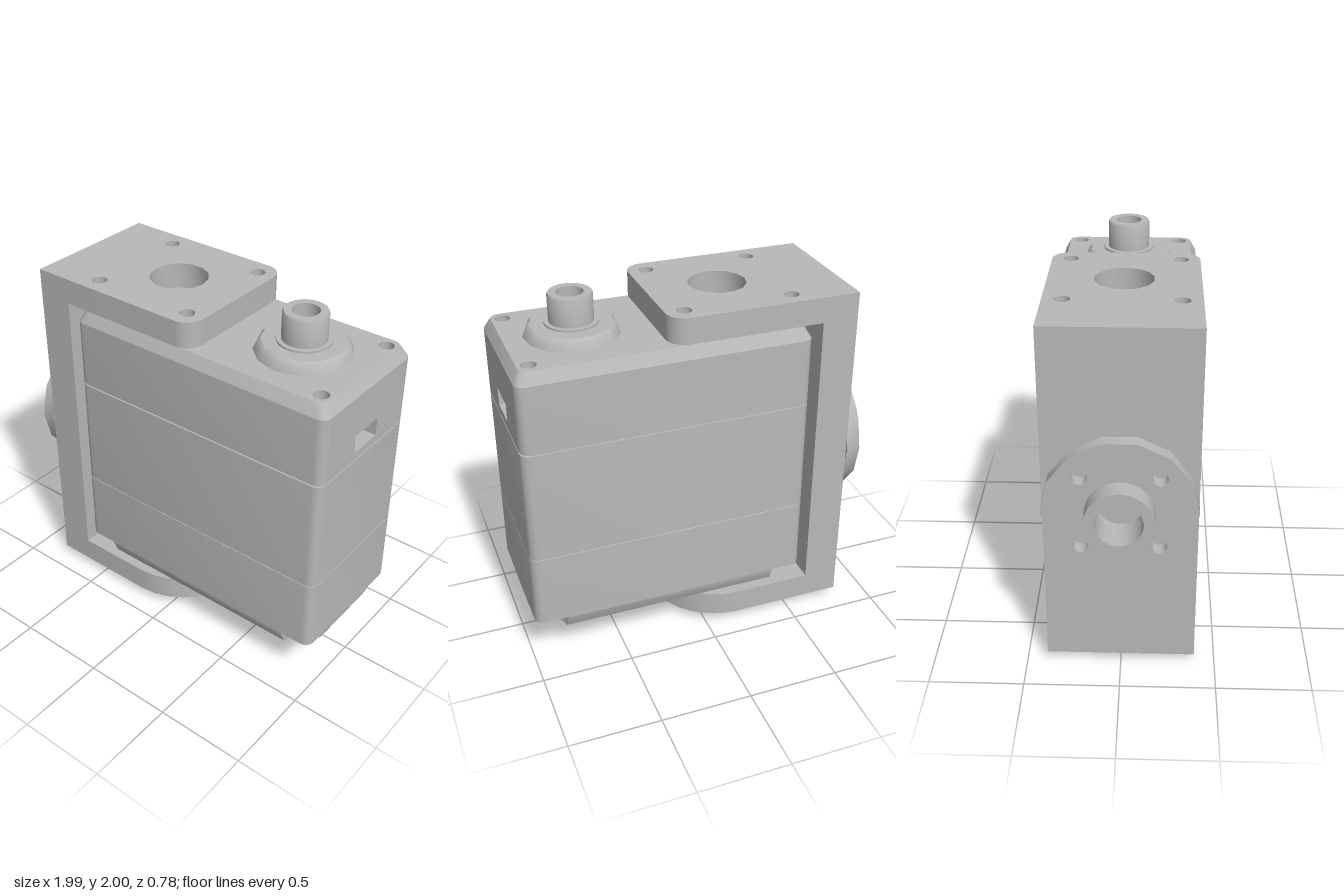
import * as THREE from 'three';
import { toCreasedNormals } from 'three/addons/utils/BufferGeometryUtils.js';

const metal = new THREE.MeshStandardMaterial({ color: 0xb8b8b8 });
metal.name = 'light grey';

// Housing footprint
const CX = 0.2125, HX = 0.7775, HZ = 0.39, CORNER = 0.05, NOTCH = 0.175;
const SHAFT_X = 0.605, BORE_X = -0.18;
const SIGNS = [[1, 1], [-1, 1], [-1, -1], [1, -1]];

function add(group, name, geometry) {
  const mesh = new THREE.Mesh(geometry, metal);
  mesh.name = name;
  group.add(mesh);
  return mesh;
}

function box(x0, x1, y0, y1, z0, z1) {
  return new THREE.BoxGeometry(x1 - x0, y1 - y0, z1 - z0)
    .translate((x0 + x1) / 2, (y0 + y1) / 2, (z0 + z1) / 2);
}

function drill(shape, x, y, r) {
  shape.holes.push(new THREE.Path().absarc(x, y, r, 0, Math.PI * 2, true));
}

function drillCorners(shape, x, dx, dz, r = 0.04) {
  for (const [sx, sz] of SIGNS) drill(shape, x + sx * dx, sz * dz, r);
}

function extrude(shape, depth, curveSegments = 7) {
  return new THREE.ExtrudeGeometry(shape, { depth, bevelEnabled: false, curveSegments });
}

// Horizontal plate from a shape drawn in x and z
function plate(shape, y0, y1) {
  return toCreasedNormals(extrude(shape, y1 - y0).rotateX(-Math.PI / 2).translate(0, y0, 0), 0.45);
}

function lathe(points, sides) {
  const g = new THREE.LatheGeometry(points.map(p => new THREE.Vector2(...p)), sides);
  return toCreasedNormals(g.toNonIndexed(), 0.55);
}

// Loop of four corners; each corner arc is given for the +x +z quadrant
function cornerLoop(arc) {
  return SIGNS.flatMap(([sx, sz]) => {
    const pts = arc.map(([x, z]) => [CX + sx * x, sz * z]);
    return sx * sz > 0 ? pts : pts.reverse();
  });
}

function roundedLoop(inset) {
  const arc = [];
  for (let i = 0; i <= 4; i++) {
    const a = i * Math.PI / 8;
    arc.push([HX - inset - CORNER * (1 - Math.cos(a)), HZ - inset - CORNER * (1 - Math.sin(a))]);
  }
  return cornerLoop(arc);
}

function notchedLoop(inset) {
  const arc = [], a0 = Math.asin(inset / NOTCH);
  for (let i = 0; i <= 6; i++) {
    const a = a0 + (Math.PI / 2 - 2 * a0) * i / 6;
    arc.push([HX - NOTCH * Math.sin(a), HZ - NOTCH * Math.cos(a)]);
  }
  return cornerLoop(arc);
}

const shapeOf = loop => new THREE.Shape(loop.map(p => new THREE.Vector2(...p)));

// Side walls through levels of [height, inset]; skip leaves out chosen faces
function walls(loopAt, levels, skip = () => false) {
  const pos = [];
  for (let k = 0; k + 1 < levels.length; k++) {
    const lo = loopAt(levels[k][1]), hi = loopAt(levels[k + 1][1]), n = lo.length;
    for (let i = 0; i < n; i++) {
      if (skip(k, i, n)) continue;
      const j = (i + 1) % n;
      const at = (p, l) => [p[0], levels[l][0], p[1]];
      const A = at(lo[i], k), B = at(lo[j], k), C = at(hi[j], k + 1), D = at(hi[i], k + 1);
      pos.push(...A, ...D, ...C, ...A, ...C, ...B);
    }
  }
  const g = new THREE.BufferGeometry();
  g.setAttribute('position', new THREE.Float32BufferAttribute(pos, 3));
  g.computeVertexNormals();
  return toCreasedNormals(g, 0.45);
}

function createBracket() {
  const bracket = new THREE.Group();
  bracket.name = 'bracket';
  add(bracket, 'bracketSpine', box(-0.805, -0.61, 0.055, 1.94, -HZ, HZ));

  // Upper arm with rounded corners
  const end = 0.21, r = 0.1;
  const upper = new THREE.Shape();
  upper.moveTo(-0.61, -HZ);
  upper.lineTo(end - r, -HZ);
  upper.absarc(end - r, -HZ + r, r, -Math.PI / 2, 0);
  upper.absarc(end - r, HZ - r, r, 0, Math.PI / 2);
  upper.lineTo(-0.61, HZ);
  drill(upper, BORE_X, 0, 0.155);
  drillCorners(upper, BORE_X, 0.29, 0.29);
  add(bracket, 'upperArm', plate(upper, 1.8, 1.94));

  // Lower arm with a half-round end
  const lower = new THREE.Shape();
  lower.moveTo(-0.61, -HZ);
  lower.lineTo(BORE_X, -HZ);
  lower.absarc(BORE_X, 0, HZ, -Math.PI / 2, Math.PI / 2);
  lower.lineTo(-0.61, HZ);
  drill(lower, BORE_X, 0, 0.155);
  for (const s of [-1, 1]) {
    drill(lower, BORE_X + s * 0.285, 0, 0.04);
    drill(lower, BORE_X, s * 0.285, 0.04);
  }
  add(bracket, 'lowerArm', plate(lower, 0.055, 0.195));
  return bracket;
}

function createFlange() {
  const flange = new THREE.Group();
  flange.name = 'sideFlange';
  const disc = new THREE.Shape().absarc(0, 0, 0.39, 0, Math.PI * 2);
  drill(disc, 0, 0, 0.12);
  drillCorners(disc, 0, 0.195, 0.195);
  add(flange, 'flangeDisc', toCreasedNormals(extrude(disc, 0.075), 0.5));
  // Hub with a bore, reaching back to the bracket
  const hub = lathe([[0.12, -0.012], [0.175, -0.012], [0.175, 0.185], [0.12, 0.185], [0.12, -0.012]], 20);
  add(flange, 'flangeHub', hub.rotateX(Math.PI / 2));
  flange.rotation.y = -Math.PI / 2;
  flange.position.set(-0.815, 1.003, 0);
  return flange;
}

function createHousing() {
  const housing = new THREE.Group();
  housing.name = 'housing';

  // Main shell with two seams and a chamfered top; the slotted panel is separate
  const levels = [[0.3, 0], [0.708, 0], [0.71, 0.005], [0.712, 0], [1.336, 0], [1.336, 0.01],
    [1.344, 0.01], [1.344, 0], [1.715, 0], [1.78, 0.033]];
  add(housing, 'shell', walls(roundedLoop, levels, (k, i, n) => k === 7 && i === n - 1));

  // End panel with a socket recess
  const w = HZ - CORNER;
  const panel = new THREE.Shape([[-w, 1.344], [w, 1.344], [w, 1.715], [-w, 1.715]].map(p => new THREE.Vector2(...p)));
  panel.holes.push(new THREE.Path([[-0.1, 1.39], [-0.1, 1.49], [0.1, 1.49], [0.1, 1.39]].map(p => new THREE.Vector2(...p))));
  add(housing, 'socketPanel', extrude(panel, 0.1).rotateY(Math.PI / 2).translate(CX + HX - 0.1, 0, 0));
  add(housing, 'socketBack', box(CX + HX - 0.12, CX + HX - 0.1, 1.37, 1.51, -0.12, 0.12));

  // Top face with four screw holes
  const top = shapeOf(roundedLoop(0.033));
  drillCorners(top, CX, 0.685, 0.29);
  add(housing, 'topFace', plate(top, 1.7, 1.78));
  add(housing, 'topHoleFloor', plate(shapeOf(roundedLoop(0.04)), 1.69, 1.7));

  // Bottom tier with notched corners and chamfered sides
  add(housing, 'bottomTier', walls(notchedLoop, [[0.22, 0.033], [0.295, 0], [0.3, 0]]));
  const bottom = shapeOf(notchedLoop(0.033));
  drillCorners(bottom, 0.025, 0.285, 0.28, 0.035);
  add(housing, 'bottomFace', plate(bottom, 0.22, 0.3));
  add(housing, 'bottomFloor', plate(shapeOf(roundedLoop(0.002)), 0.3, 0.31));
  return housing;
}

function createShafts() {
  const shafts = new THREE.Group();
  shafts.name = 'shafts';
  shafts.position.x = SHAFT_X;
  // Upper collar and hollow output shaft
  add(shafts, 'upperCollar', lathe([[0.25, 1.78], [0.232, 1.825], [0.215, 1.84], [0, 1.84]], 13));
  add(shafts, 'upperShaft', lathe([[0.14, 1.84], [0.14, 1.85], [0.115, 1.85], [0.115, 1.99], [0.11, 2],
    [0.07, 2], [0.07, 1.9], [0, 1.9]], 24));
  // Lower collar and pivot
  add(shafts, 'lowerCollar', lathe([[0, 0.165], [0.205, 0.165], [0.25, 0.21], [0.25, 0.22]], 13));
  add(shafts, 'lowerShaft', lathe([[0, 0.07], [0.05, 0.07], [0.05, 0], [0.088, 0], [0.096, 0.012], [0.096, 0.166]], 24));
  return shafts;
}

export function createModel() {
  const model = new THREE.Group();
  model.name = 'servoWithBracket';
  model.add(createBracket(), createFlange(), createHousing(), createShafts());
  return model;
}
